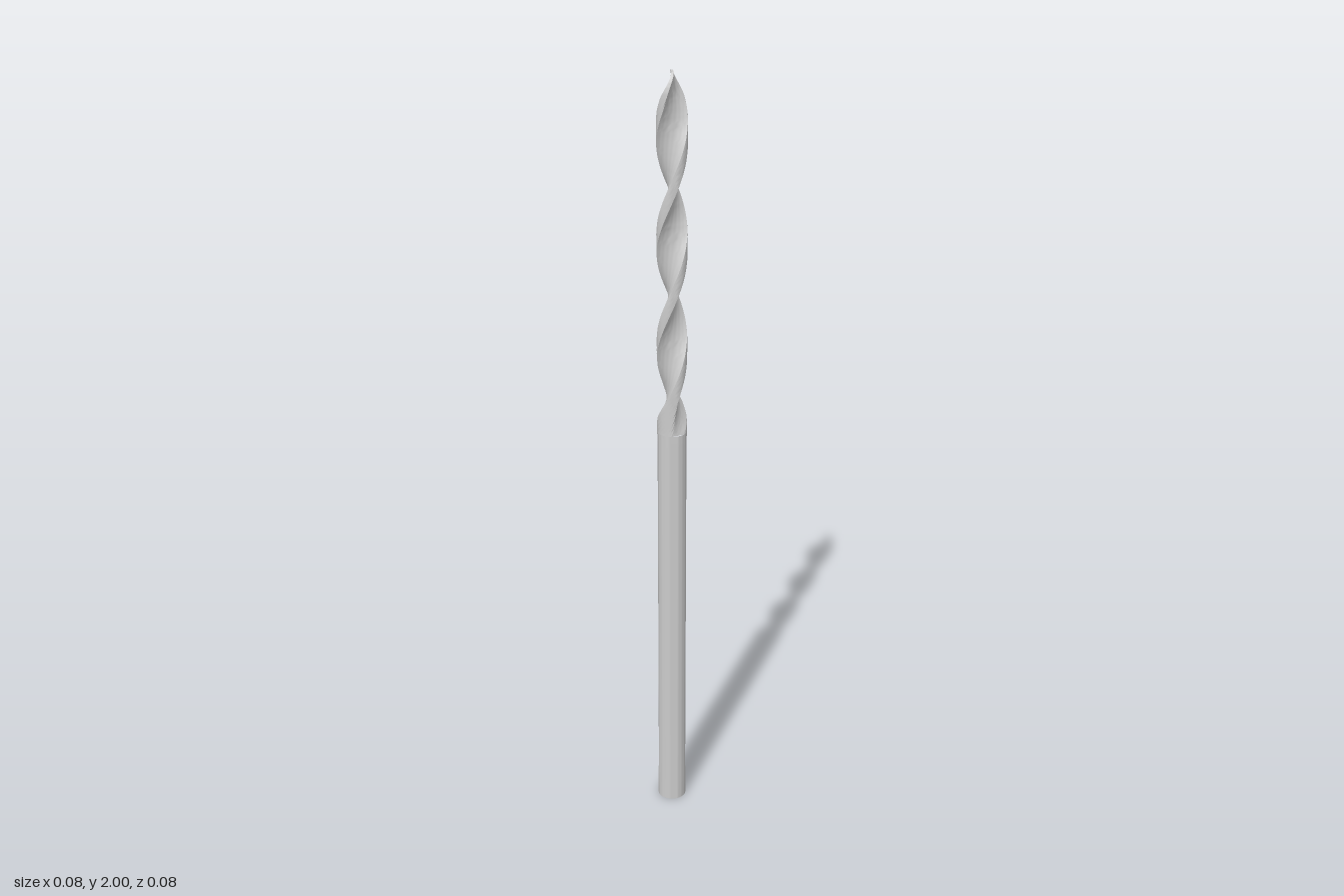
import * as THREE from 'three';
import { toCreasedNormals } from 'three/addons/utils/BufferGeometryUtils.js';

const R = 0.0378;        // body radius
const HALF_TURN = 0.267; // height of half a turn of the flutes
const SIDES = 40;

// Skin a stack of cross-sections: discs of radius r flattened to half thickness h,
// hollowed by up to `dip` at the middle and turned by angle a.
function skin(rings) {
  const pos = [], index = [];
  for (const { y, r, h, a = 0, dip = 0 } of rings) {
    for (let j = 0; j < SIDES; j++) {
      const t = ((j + 0.5) / SIDES) * Math.PI * 2;
      const u = r * Math.cos(t);
      const limit = Math.max(0, h - dip * Math.sin(t) ** 2);
      const v = THREE.MathUtils.clamp(r * Math.sin(t), -limit, limit);
      pos.push(u * Math.sin(a) + v * Math.cos(a), y, u * Math.cos(a) - v * Math.sin(a));
    }
  }
  for (let i = 0; i < rings.length - 1; i++) {
    for (let j = 0; j < SIDES; j++) {
      const p = i * SIDES + j, q = i * SIDES + ((j + 1) % SIDES);
      index.push(p, q, q + SIDES, p, q + SIDES, p + SIDES);
    }
  }
  const g = new THREE.BufferGeometry();
  g.setAttribute('position', new THREE.Float32BufferAttribute(pos, 3));
  g.setIndex(index);
  return toCreasedNormals(g, 0.6);
}

export function createModel() {
  const group = new THREE.Group();
  const material = new THREE.MeshStandardMaterial({ color: 0xcccccc });
  const add = (name, rings) => {
    const mesh = new THREE.Mesh(skin(rings), material);
    mesh.name = name;
    group.add(mesh);
  };

  // Shank: round foot, then two shallow flats facing left and right
  add('shank', [
    { y: 0, r: 0, h: R },
    { y: 0, r: R, h: R },
    { y: 0.08, r: R, h: R },
    { y: 0.085, r: R, h: 0.0352 },
    { y: 1.07, r: R, h: 0.0352 },
    { y: 1.1, r: R, h: R },
  ]);

  // Twisted flutes: the round body thins to a blade, then rounds off at the tip
  const rings = [];
  const steps = 110, y0 = 1.1, y1 = 2;
  for (let i = 0; i <= steps; i++) {
    const s = i / steps;
    const y = y0 + (y1 - y0) * (1 - (1 - s) ** 1.25); // finer rings near the tip
    const run = THREE.MathUtils.smoothstep(y, 1.06, 1.23);
    const k = THREE.MathUtils.clamp((y - 1.945) / 0.055, 0, 1); // tip progress
    const r = R * Math.sqrt(1 - 0.86 * k * k);
    const web = THREE.MathUtils.lerp(0.0125, 0.003, THREE.MathUtils.smoothstep(y, 1.9, 2));
    rings.push({
      y, r,
      h: THREE.MathUtils.lerp(R, web, run),
      dip: 0.003 * run * (1 - k),
      a: ((y - 1.47) / HALF_TURN) * Math.PI,
    });
  }
  rings.push({ ...rings[rings.length - 1], r: 0 });
  add('twistedFlutes', rings);

  return group;
}
